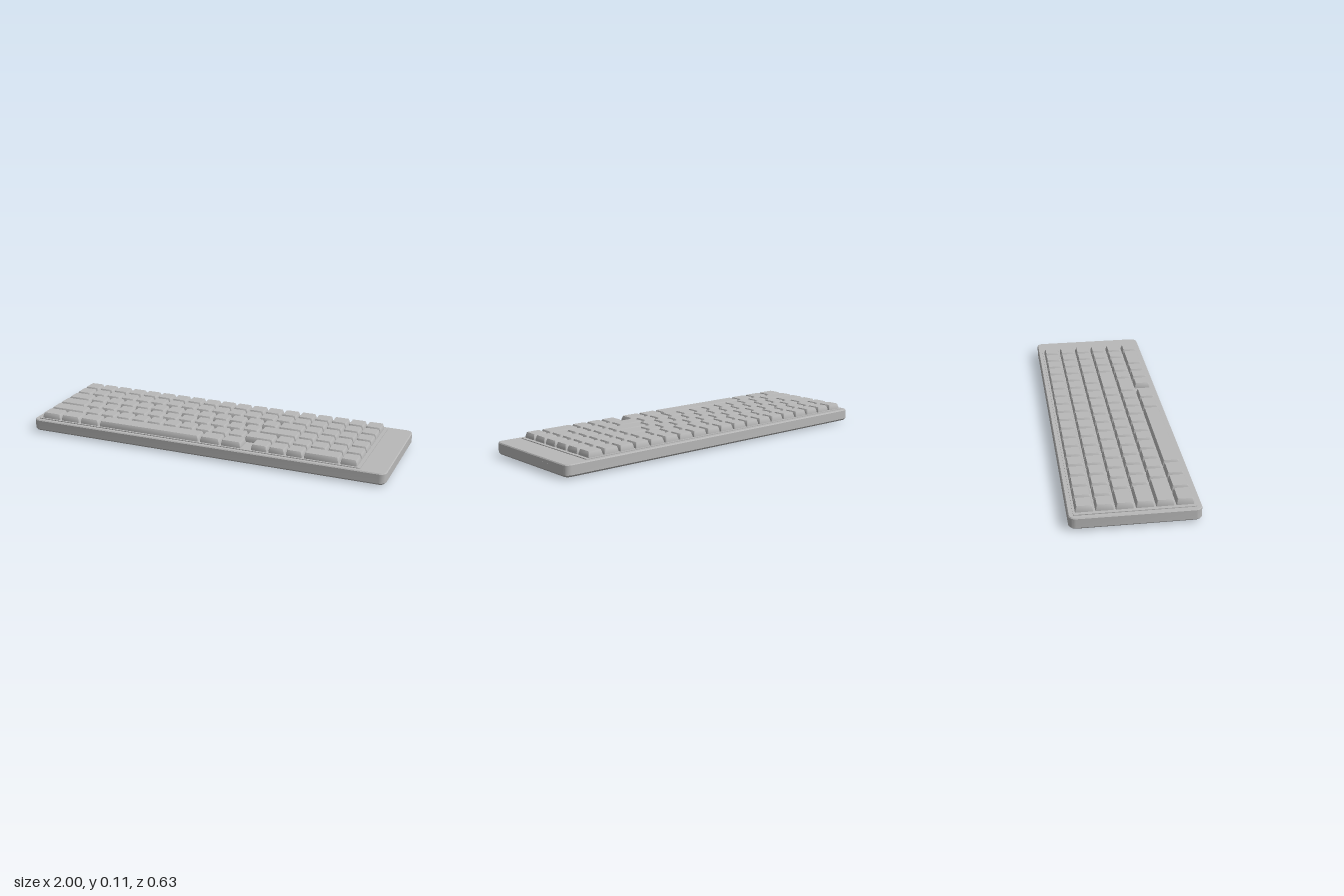
import * as THREE from 'three';
import { toCreasedNormals } from 'three/addons/utils/BufferGeometryUtils.js';

// Loft through rounded rectangles; each section is [halfWidth, y, halfDepth, cornerRadius]
function loft(sections, seg) {
  const pos = [], index = [], n = 4 * (seg + 1);
  for (const [hw, y, hd, r] of sections) {
    for (let q = 0; q < 4; q++) {
      const sx = q === 0 || q === 3 ? 1 : -1, sz = q < 2 ? -1 : 1;
      for (let i = 0; i <= seg; i++) {
        const a = (q + i / seg) * Math.PI / 2;
        pos.push(sx * (hw - r) + r * Math.cos(a), y, sz * (hd - r) - r * Math.sin(a));
      }
    }
  }
  const last = sections.length - 1;
  for (let s = 0; s < last; s++) {
    for (let i = 0; i < n; i++) {
      const a = s * n + i, b = s * n + (i + 1) % n;
      index.push(a, b, b + n, a, b + n, a + n);
    }
  }
  // Caps
  const c = pos.length / 3;
  pos.push(0, sections[0][1], 0, 0, sections[last][1], 0);
  for (let i = 0; i < n; i++) {
    const j = (i + 1) % n;
    index.push(c, j, i, c + 1, last * n + i, last * n + j);
  }
  const g = new THREE.BufferGeometry();
  g.setAttribute('position', new THREE.Float32BufferAttribute(pos, 3));
  g.setIndex(index);
  return toCreasedNormals(g, 0.45);
}

const UNIT = 0.0955;
const LEFT = -0.962;

// Key widths in units per row, back to front; negative widths are gaps
const ones = (n) => Array(n).fill(1);
const ROWS = [
  ones(19),
  ones(19),
  [1.5, ...ones(12), 1.5, ...ones(4)],
  [1.75, ...ones(11), 2.25, ...ones(4)],
  [2.25, ...ones(10), 1.75, ...ones(5)],
  [1.25, 1.25, 1.25, 6.25, 1.25, 1.25, -0.5, 1, 1, 1, 2, 1],
];

export function createModel() {
  const model = new THREE.Group();
  model.name = 'keyboard';
  const grey = new THREE.MeshStandardMaterial({ color: 0xb8b8b8 });
  grey.name = 'grey';

  const add = (name, geometry, x = 0, y = 0, z = 0, parent = model) => {
    const mesh = new THREE.Mesh(geometry, grey);
    mesh.name = name;
    mesh.position.set(x, y, z);
    parent.add(mesh);
    return mesh;
  };

  // Case with chamfered rims
  add('case', loft([
    [0.99, 0.009, 0.306, 0.024],
    [1, 0.019, 0.316, 0.034],
    [1, 0.067, 0.316, 0.034],
    [0.996, 0.072, 0.312, 0.03],
  ], 6));

  // Raised plate under the keys
  add('keyPlate', loft([
    [0.922, 0.07, 0.293, 0.01],
    [0.922, 0.076, 0.293, 0.01],
  ], 3), LEFT + 9.5 * UNIT);

  // Keycaps, one geometry per width
  const caps = new Map();
  const capGeometry = (w) => {
    if (!caps.has(w)) {
      const h = w * UNIT / 2;
      caps.set(w, loft([
        [h - 0.0042, 0.074, 0.0435, 0.006],
        [h - 0.0045, 0.084, 0.0432, 0.006],
        [h - 0.0095, 0.102, 0.0382, 0.007],
        [h - 0.0115, 0.1055, 0.0362, 0.006],
      ], 3));
    }
    return caps.get(w);
  };
  const keys = new THREE.Group();
  keys.name = 'keys';
  model.add(keys);
  ROWS.forEach((row, r) => {
    let x = LEFT;
    for (const w of row) {
      const width = Math.abs(w) * UNIT;
      if (w > 0) add(w > 6 ? 'spaceBar' : 'keycap', capGeometry(w), x + width / 2, 0, (r - 2.5) * UNIT, keys);
      x += width;
    }
  });

  // Round feet and the long rear grip strip
  const foot = new THREE.CylinderGeometry(0.028, 0.028, 0.008, 24);
  for (const x of [-0.89, 0.89]) {
    for (const z of [-0.245, 0.248]) add('foot', foot, x, 0.007, z);
  }
  add('gripStrip', new THREE.BoxGeometry(1.2, 0.011, 0.06), 0, 0.0055, -0.225);

  // Side socket plate
  add('sidePort', new THREE.BoxGeometry(0.004, 0.016, 0.054), 0.999, 0.045, -0.142);

  return model;
}
